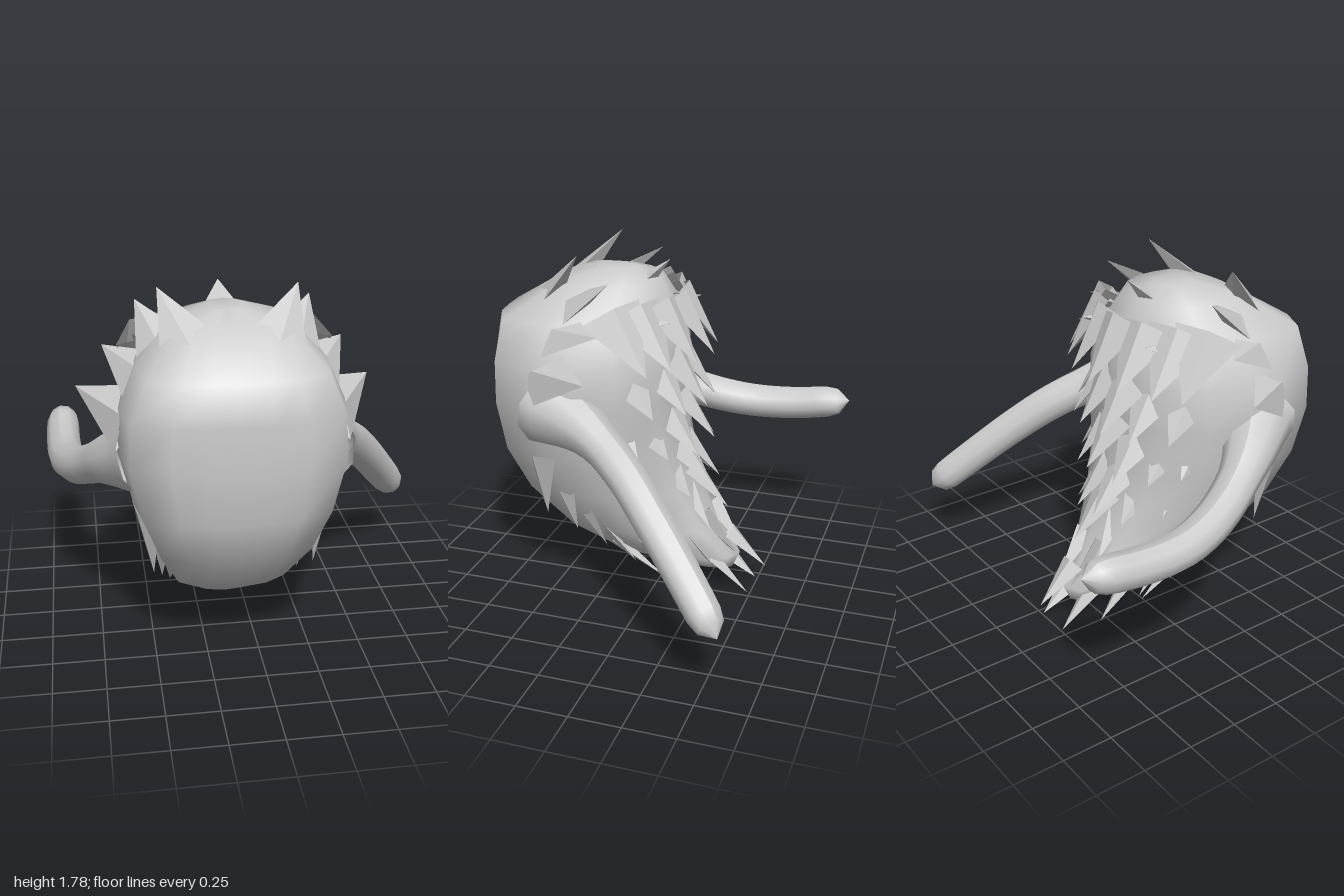
import * as THREE from 'three';

const CX = -0.12; // the body's mirror plane
const mat = new THREE.MeshStandardMaterial({ color: 0xcccccc, side: THREE.DoubleSide });
const tuftMat = new THREE.MeshStandardMaterial({ color: 0xcccccc, flatShading: true, side: THREE.DoubleSide });

// Horizontal body slices: y, front z, back z, half width
const SLICES = [
  [0.07, -0.12, -0.38, 0.05], [0.16, 0.23, -0.42, 0.17], [0.32, 0.50, -0.30, 0.27],
  [0.55, 0.70, -0.20, 0.37], [0.78, 0.79, -0.14, 0.45], [1.04, 0.81, -0.12, 0.51],
  [1.25, 0.81, -0.12, 0.50], [1.44, 0.79, -0.08, 0.42], [1.60, 0.52, 0.02, 0.27], [1.65, 0.34, 0.14, 0.08],
];
// Half outline from front to back: share of half width, share of depth
const OUTLINE = [[0, 0], [0.3, 0.01], [0.6, 0.03], [0.95, 0.11], [1.03, 0.35], [1.03, 0.55], [0.88, 0.75], [0.55, 0.93], [0, 1]];

function body() {
  const ring = [...OUTLINE, ...OUTLINE.slice(1, -1).reverse().map(([x, z]) => [-x, z])];
  const n = ring.length, pos = [], index = [];
  for (const [y, zf, zb, w] of SLICES)
    for (const [x, z] of ring) pos.push(CX + x * w, y, zf + (zb - zf) * z);
  for (let r = 0; r < SLICES.length - 1; r++)
    for (let i = 0; i < n; i++) {
      const a = r * n + i, b = r * n + (i + 1) % n;
      index.push(a, b, b + n, a, b + n, a + n);
    }
  // bottom and crown caps
  const last = (SLICES.length - 1) * n;
  for (let i = 1; i < n - 1; i++) index.push(0, i + 1, i, last, last + i, last + i + 1);
  const g = new THREE.BufferGeometry();
  g.setAttribute('position', new THREE.Float32BufferAttribute(pos, 3));
  g.setIndex(index);
  g.computeVertexNormals();
  const m = new THREE.Mesh(g, mat);
  m.name = 'body';
  return m;
}

// Flat four-sided tuft from a base point to a tip; x is measured from the mirror plane
function tuft(base, tip, width, side) {
  const b = new THREE.Vector3(CX + side * base[0], base[1], base[2]);
  const t = new THREE.Vector3(CX + side * tip[0], tip[1], tip[2]);
  const dir = t.clone().sub(b), len = dir.length();
  dir.normalize();
  const out = b.clone().sub(new THREE.Vector3(CX, 0.9, 0.3));
  const across = new THREE.Vector3().crossVectors(dir, out).normalize();
  const normal = new THREE.Vector3().crossVectors(across, dir);
  const g = new THREE.ConeGeometry(1, len, 4, 1, true);
  g.translate(0, len / 2, 0).scale(width, 1, width * 0.4);
  g.applyMatrix4(new THREE.Matrix4().makeBasis(across, dir, normal).setPosition(b));
  const m = new THREE.Mesh(g, tuftMat);
  m.name = 'tuft';
  return m;
}

// A tuft on both sides, or a single one on the mirror plane
function addTufts(group, base, tip, width) {
  for (const side of base[0] ? [1, -1] : [1]) group.add(tuft(base, tip, width, side));
}

// Crown and cheek tufts: base, tip, half width
const CROWN = [
  [[0.17, 1.48, 0.56], [0.32, 1.76, 0.33], 0.17],
  [[0.30, 1.48, 0.40], [0.41, 1.66, 0.14], 0.14],
  [[0.38, 1.38, 0.45], [0.57, 1.45, 0.14], 0.15],
  [[0.46, 1.20, 0.48], [0.70, 1.26, 0.16], 0.17],
  [[0, 1.52, 0.16], [0, 1.70, -0.03], 0.15],
  [[0.20, 1.42, 0.08], [0.26, 1.46, -0.12], 0.13],
];

function crownTufts() {
  const group = new THREE.Group();
  group.name = 'crownTufts';
  for (const [base, tip, w] of CROWN) addTufts(group, base, tip, w);
  return group;
}

// Staggered rows down the back, narrowing and sweeping backward toward the tail
function backTufts() {
  const group = new THREE.Group();
  group.name = 'backTufts';
  for (let row = 0; row < 7; row++) {
    const t = row / 6;
    const y = 1.24 - 1.44 * t + 0.3 * t * t;
    for (const u of row % 2 ? [0.2, 0.55, 0.9] : [0, 0.4, 0.75, 1]) {
      const h = u * (0.46 - 0.24 * t);
      const tip = [h, y - 0.52 * t * u * (1 - u), -0.26 - 0.3 * t ** 3 + (0.2 + 0.25 * t) * u * u];
      const base = [h * 0.85, tip[1] + 0.28 - 0.1 * t, tip[2] + 0.2];
      addTufts(group, base, tip, 0.16 - 0.08 * t);
    }
  }
  return group;
}

// Hem running along the lower flank, from the chest down to the tail
function hemTufts() {
  const group = new THREE.Group();
  group.name = 'hemTufts';
  for (let i = 0; i < 5; i++) {
    const t = i / 4;
    const tip = [0.38 - 0.19 * t, 0.43 - 0.38 * t, 0.50 - 0.57 * t];
    const base = [0.41 - 0.23 * t, tip[1] + 0.34 - 0.16 * t, tip[2] + 0.02 + 0.26 * t];
    addTufts(group, base, tip, 0.12 - 0.04 * t);
  }
  return group;
}

// Round limb, flared at the shoulder and rounded off at the hand
function arm(name, points) {
  const curve = new THREE.CatmullRomCurve3(points.map(p => new THREE.Vector3(...p)));
  const steps = 24, sides = 10;
  const g = new THREE.TubeGeometry(curve, steps, 1, sides, false);
  const p = g.attributes.position, v = new THREE.Vector3();
  for (let i = 0; i <= steps; i++) {
    const t = i / steps, c = curve.getPointAt(t);
    const flare = 0.1 * Math.max(0, 1 - t / 0.3) ** 1.5;
    const end = t > 0.9 ? Math.sqrt(Math.max(0, 1 - ((t - 0.9) / 0.1) ** 2)) : 1;
    const r = (0.105 - 0.02 * t + flare) * end;
    for (let j = 0; j <= sides; j++) {
      const k = i * (sides + 1) + j;
      v.fromBufferAttribute(p, k).sub(c).multiplyScalar(r).add(c);
      p.setXYZ(k, v.x, v.y, v.z);
    }
  }
  g.computeVertexNormals();
  const m = new THREE.Mesh(g, mat);
  m.name = name;
  return m;
}

export function createModel() {
  const model = new THREE.Group();
  model.name = 'furryCreature';
  model.add(
    body(),
    crownTufts(),
    backTufts(),
    hemTufts(),
    arm('leftArm', [[0.26, 1.02, 0.46], [0.41, 0.96, 0.2], [0.55, 0.84, -0.02], [0.68, 0.69, -0.2], [0.80, 0.53, -0.37], [0.96, 0.31, -0.59]]),
    arm('rightArm', [[-0.50, 1.02, 0.46], [-0.68, 0.92, 0.26], [-0.81, 0.79, 0], [-0.88, 0.73, -0.25], [-0.90, 0.73, -0.5], [-0.90, 0.78, -0.83]]),
  );
  return model;
}
